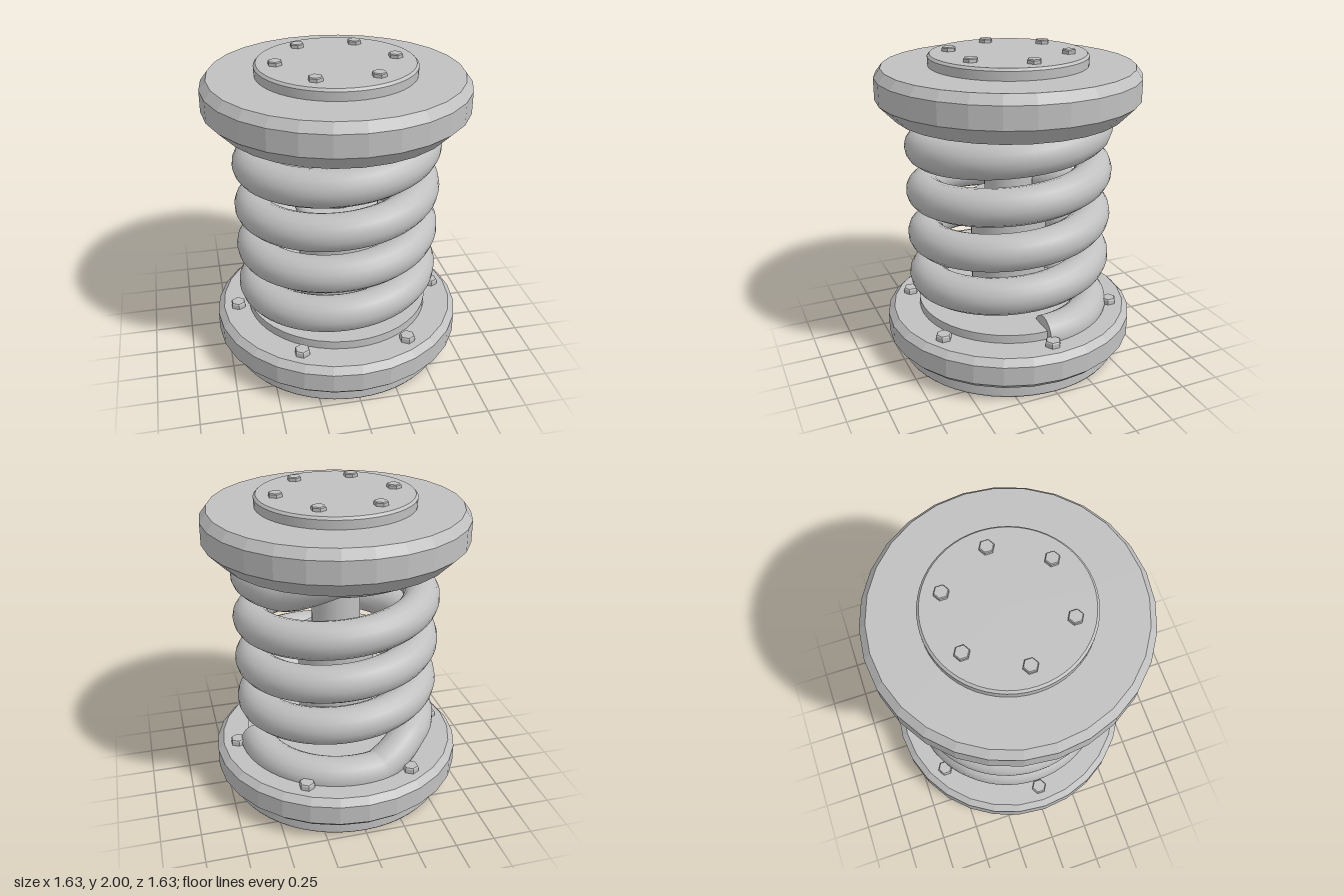
import * as THREE from 'three';
import { toCreasedNormals } from 'three/addons/utils/BufferGeometryUtils.js';

const steel = new THREE.MeshStandardMaterial({ color: 0xc0c0c0 });
steel.name = 'steel grey';

const COIL_R = 0.54, WIRE_R = 0.115, TURNS = 4.5;

// Centre line of the spring: a helix with flattened end coils
class SpringCurve extends THREE.Curve {
  getPoint(t, target = new THREE.Vector3()) {
    const deg = t * TURNS * 360;
    const half = TURNS * 180;
    const d = Math.abs(deg - half);                 // degrees away from mid height
    const helix = Math.min(d, half - 135) / 360 * 0.29;
    const k = THREE.MathUtils.clamp((d - (half - 135)) / 30, 0, 1);
    const rise = THREE.MathUtils.lerp(helix, 0.667, k);
    const a = THREE.MathUtils.degToRad(deg);
    return target.set(COIL_R * Math.cos(a), 0.982 + Math.sign(deg - half) * rise, -COIL_R * Math.sin(a));
  }
}

function addMesh(group, name, geometry) {
  const mesh = new THREE.Mesh(geometry, steel);
  mesh.name = name;
  group.add(mesh);
  return mesh;
}

// Turned part from [radius, height] pairs, listed bottom to top
function turned(group, name, profile, sides, crease) {
  const points = profile.map(([r, y]) => new THREE.Vector2(r, y));
  return addMesh(group, name, toCreasedNormals(new THREE.LatheGeometry(points, sides), crease));
}

// Ring of six hexagonal bolt heads
function boltRing(group, name, ringRadius, bottom, top, size) {
  const ring = new THREE.Group();
  ring.name = name;
  const h = top - bottom;
  const head = toCreasedNormals(new THREE.LatheGeometry([
    new THREE.Vector2(size, 0), new THREE.Vector2(size, h * 0.8),
    new THREE.Vector2(size * 0.88, h), new THREE.Vector2(0, h),
  ], 6), 0.1);
  for (let i = 0; i < 6; i++) {
    const a = i * Math.PI / 3;
    addMesh(ring, 'bolt', head).position.set(ringRadius * Math.cos(a), bottom, ringRadius * Math.sin(a));
  }
  group.add(ring);
}

export function createModel() {
  const model = new THREE.Group();
  model.name = 'springDamper';
  const FLAT = 0.1, SMOOTH = 0.45;

  // Base: round foot, faceted flange and spring seat
  turned(model, 'foot', [[0, 0], [0.72, 0], [0.73, 0.015], [0.73, 0.08], [0.715, 0.1], [0, 0.1]], 56, SMOOTH);
  turned(model, 'baseFlange', [[0, 0.1], [0.77, 0.1], [0.81, 0.14], [0.81, 0.265], [0.77, 0.305], [0, 0.305]], 28, FLAT);
  turned(model, 'springSeat', [[0.5, 0.3], [0.6, 0.3], [0.6, 0.36], [0, 0.36]], 48, SMOOTH);
  boltRing(model, 'baseBolts', 0.675, 0.3, 0.342, 0.05);

  // Damper: body, rounded collar and rod
  turned(model, 'damperBody', [[0.245, 0.35], [0.245, 0.98], [0.26, 0.99], [0.26, 1.0], [0, 1.0]], 32, SMOOTH);
  const collar = [[0, 0.99]];
  for (let i = 0; i <= 8; i++) {
    const a = -Math.PI / 2 + i * Math.PI / 8;
    collar.push([0.235 + 0.036 * Math.cos(a), 1.027 + 0.036 * Math.sin(a)]);
  }
  collar.push([0, 1.063]);
  turned(model, 'collar', collar, 40, SMOOTH);
  addMesh(model, 'rod', new THREE.CylinderGeometry(0.155, 0.155, 0.62, 32)).position.y = 1.34;

  // Coil spring with closed ends
  const curve = new SpringCurve();
  curve.arcLengthDivisions = 1200;
  addMesh(model, 'coilSpring', new THREE.TubeGeometry(curve, 270, WIRE_R, 16, false));
  for (const t of [0, 1]) {
    addMesh(model, 'springEnd', new THREE.CircleGeometry(WIRE_R, 24)).position.copy(curve.getPoint(t));
  }

  // Top: faceted flange, round cover and bolts
  turned(model, 'topFlange', [[0, 1.61], [0.715, 1.61], [0.817, 1.715], [0.817, 1.85], [0.775, 1.905], [0, 1.905]], 28, FLAT);
  turned(model, 'topCover', [[0.49, 1.9], [0.492, 1.96], [0.478, 1.975], [0, 1.975]], 56, SMOOTH);
  boltRing(model, 'topBolts', 0.365, 1.97, 2.0, 0.045);

  return model;
}
